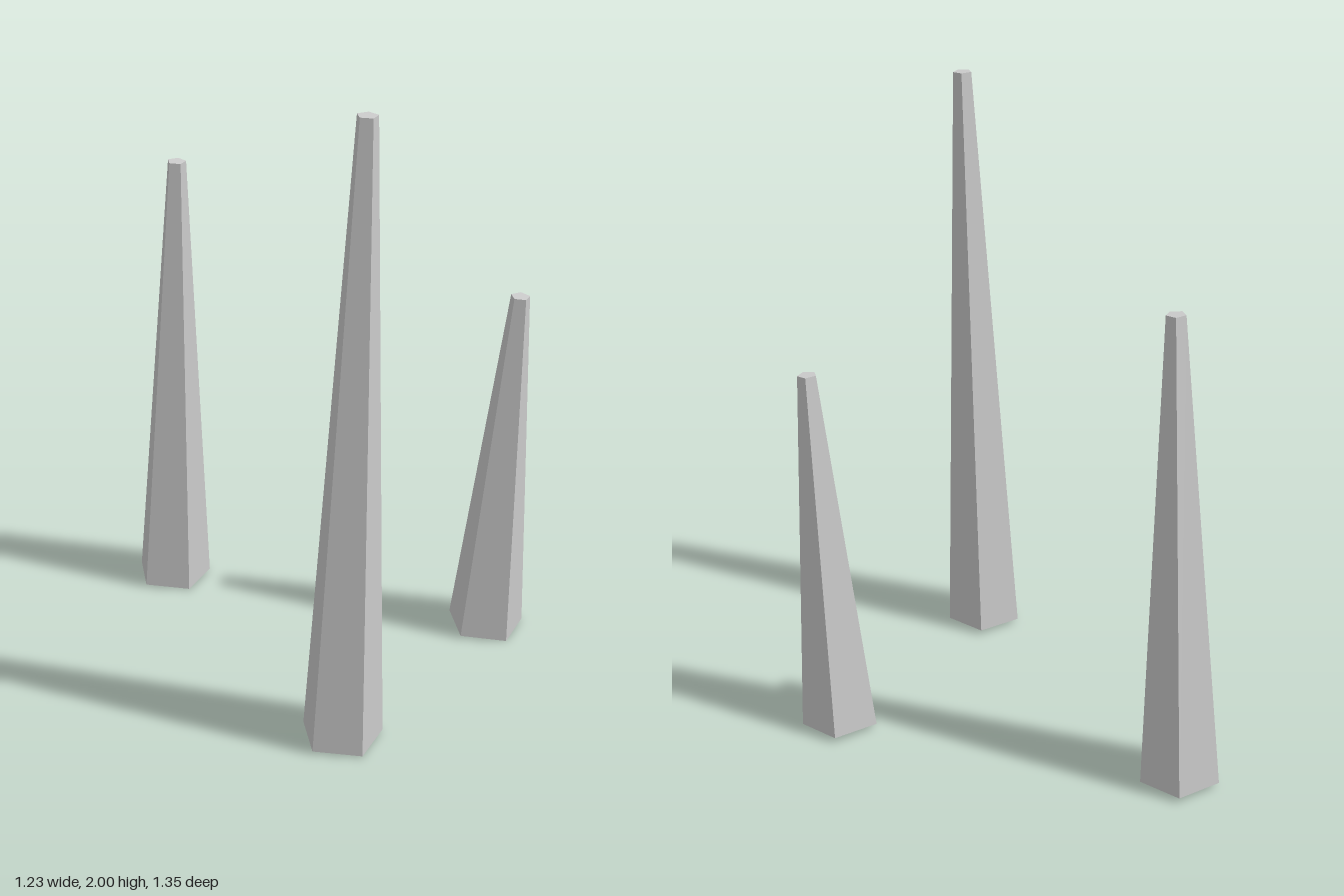
import * as THREE from 'three';

const UP = new THREE.Vector3(0, 1, 0);

// Five-sided tapering spike running from a base point to a tip point
function makeSpike(name, base, tip, material) {
  const axis = tip.clone().sub(base);
  const geometry = new THREE.CylinderGeometry(0.031, 0.13, axis.length(), 5, 1, false, Math.PI / 2);
  const spike = new THREE.Mesh(geometry, material);
  spike.name = name;
  spike.position.copy(base).add(tip).multiplyScalar(0.5);
  spike.quaternion.setFromUnitVectors(UP, axis.normalize());
  return spike;
}

export function createModel() {
  const group = new THREE.Group();
  group.name = 'spikes';
  const material = new THREE.MeshStandardMaterial({ color: 0xcccccc, flatShading: true });

  // Base x, base z and tip height; every tip leans by the same offset
  const spikes = [
    ['tallSpike', -0.125, 0.552, 1.998],
    ['middleSpike', -0.512, -0.552, 1.558],
    ['shortSpike', 0.485, 0, 1.226],
  ];
  for (const [name, x, z, height] of spikes) {
    const base = new THREE.Vector3(x, 0.012, z);
    const tip = new THREE.Vector3(x + 0.055, height, z + 0.084);
    group.add(makeSpike(name, base, tip, material));
  }
  return group;
}
